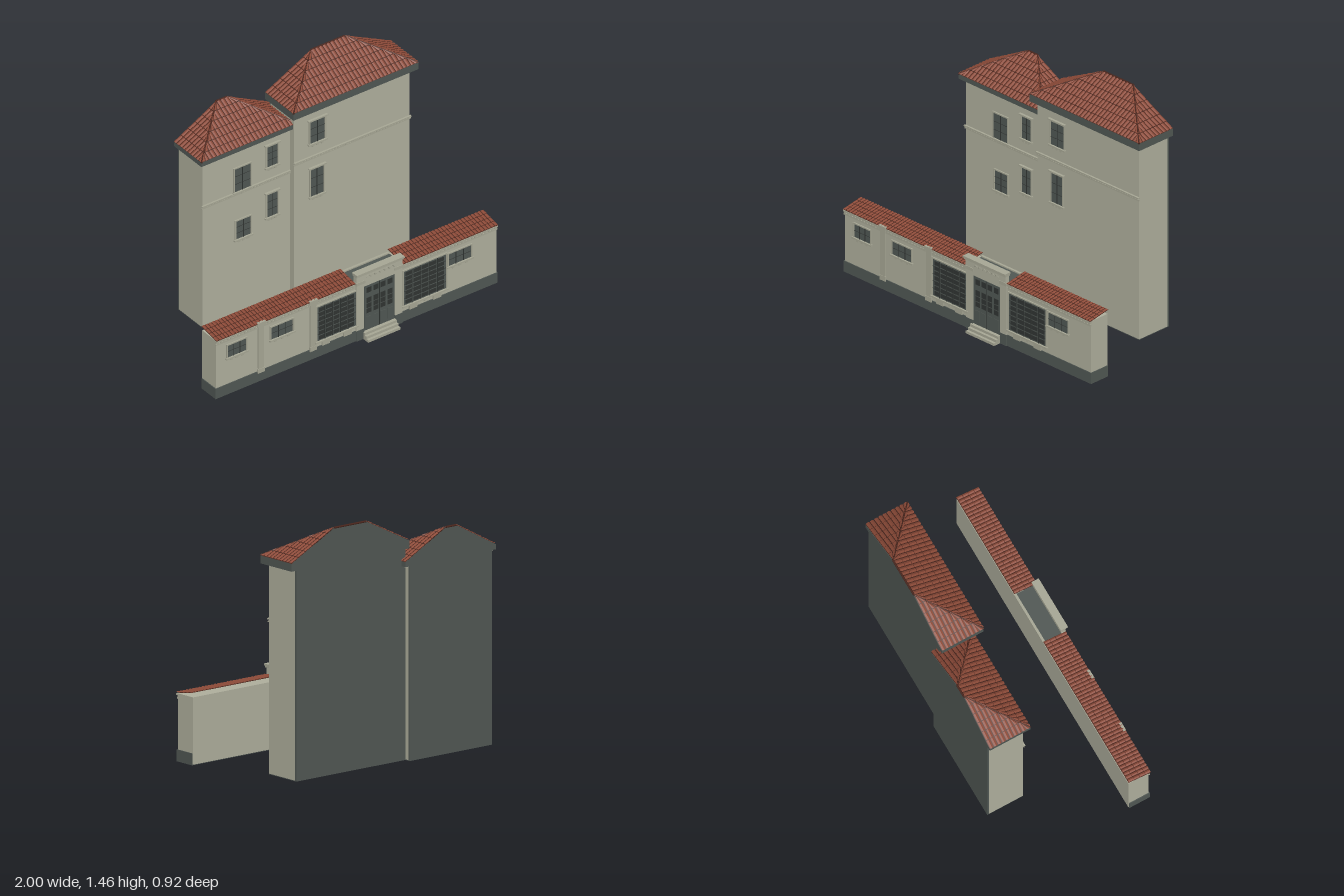
import * as THREE from 'three';

const mat = (name, color, side = THREE.FrontSide) => {
  const m = new THREE.MeshStandardMaterial({ color, side });
  m.name = name;
  return m;
};

export function createModel() {
  const root = new THREE.Group();
  root.name = 'walledTownhouse';
  const plaster = mat('plaster', 0xaeae9c);
  const trim = mat('trim', 0xa6a694);
  const slate = mat('slate', 0x505753);
  const iron = mat('iron', 0x303432);
  const tile = mat('tile', 0x8c4a38, THREE.DoubleSide);
  const tileGap = mat('tileGap', 0x4a261d, THREE.DoubleSide);

  // Box given by its min and max corners
  const box = (g, name, m, x0, x1, y0, y1, z0, z1) => {
    const mesh = new THREE.Mesh(new THREE.BoxGeometry(x1 - x0, y1 - y0, z1 - z0), m);
    mesh.position.set((x0 + x1) / 2, (y0 + y1) / 2, (z0 + z1) / 2);
    mesh.name = name;
    g.add(mesh);
    return mesh;
  };
  const group = (name, parent = root) => {
    const g = new THREE.Group();
    g.name = name;
    parent.add(g);
    return g;
  };
  const V = (x, y, z) => new THREE.Vector3(x, y, z);
  const meshFrom = (g, name, m, points) => {
    const geo = new THREE.BufferGeometry().setFromPoints(points);
    geo.computeVertexNormals();
    const mesh = new THREE.Mesh(geo, m);
    mesh.name = name;
    g.add(mesh);
  };

  // Ridged tiles over a dark sheet; a, b are the eave corners, c, d the top ones
  const tiledSlope = (g, a, b, c, d, pitch, rows) => {
    meshFrom(g, 'roofSheet', tileGap, [a, b, c, a, c, d]);
    const width = a.distanceTo(b);
    const u = b.clone().sub(a).normalize();
    const ad = d.clone().sub(a);
    const uD = ad.dot(u), uC = c.clone().sub(a).dot(u);
    const rise = ad.addScaledVector(u, -uD);
    const n = u.clone().cross(rise).normalize();
    const cols = Math.round(width / pitch), step = width / cols, pts = [];
    const at = (s, t, h) => {
      const k = THREE.MathUtils.clamp(s, uD * t, width + (uC - width) * t);
      return a.clone().addScaledVector(u, k).addScaledVector(rise, t).addScaledVector(n, h);
    };
    for (let r = 0; r < rows; r++) {
      const t0 = r / rows, t1 = (r + 0.93) / rows;
      for (let i = 0; i < cols; i++) {
        const s = [0.1, 0.5, 0.9].map((f) => (i + f) * step);
        if (s[2] <= uD * t0 || s[0] >= width + (uC - width) * t0) continue;
        for (let j = 0; j < 2; j++) {
          const h0 = j ? 0.006 : 0.002, h1 = j ? 0.002 : 0.006;
          const p = at(s[j], t0, h0 + 0.002), q = at(s[j + 1], t0, h1 + 0.002);
          const v = at(s[j + 1], t1, h1), w = at(s[j], t1, h0);
          pts.push(p, q, v, p, v, w);
        }
      }
    }
    meshFrom(g, 'roofTiles', tile, pts);
  };
  const cap = (g, a, b) => {
    const mesh = new THREE.Mesh(new THREE.CylinderGeometry(0.006, 0.006, a.distanceTo(b), 6), tileGap);
    mesh.position.copy(a).lerp(b, 0.5);
    mesh.quaternion.setFromUnitVectors(V(0, 1, 0), b.clone().sub(a).normalize());
    mesh.name = 'hipCap';
    g.add(mesh);
  };

  // Framed window with mullions, sill and brackets on a wall at z
  const addWindow = (parent, x0, x1, y0, y1, z, hood = true, cols = 2, rows = 3) => {
    const g = group('window', parent);
    box(g, 'pane', slate, x0, x1, y0, y1, z, z + 0.003);
    for (let i = 1; i < cols; i++) {
      const x = x0 + (x1 - x0) * i / cols;
      box(g, 'mullion', iron, x - 0.002, x + 0.002, y0, y1, z, z + 0.006);
    }
    for (let i = 1; i < rows; i++) {
      const y = y0 + (y1 - y0) * i / rows;
      box(g, 'glazingBar', iron, x0, x1, y - 0.001, y + 0.001, z, z + 0.005);
    }
    for (const [l, r] of [[x0 - 0.008, x0], [x1, x1 + 0.008]])
      box(g, 'jamb', trim, l, r, y0, y1, z, z + 0.008);
    box(g, 'lintel', trim, x0 - 0.008, x1 + 0.008, y1, y1 + 0.008, z, z + 0.008);
    if (hood) box(g, 'hood', trim, x0 - 0.016, x1 + 0.016, y1 + 0.008, y1 + 0.016, z, z + 0.016);
    box(g, 'sill', trim, x0 - 0.014, x1 + 0.014, y0 - 0.01, y0, z, z + 0.014);
    for (const f of [0.2, 0.5, 0.8]) {
      const x = x0 + (x1 - x0) * f;
      box(g, 'bracket', trim, x - 0.008, x + 0.008, y0 - 0.022, y0 - 0.01, z, z + 0.009);
    }
  };

  // Cornice: two thin courses with a row of dentils between
  const addBand = (parent, x0, x1, y0, y1, z, pitch = 0.02) => {
    const g = group('cornice', parent), h = (y1 - y0) / 3;
    box(g, 'lowerCourse', trim, x0, x1, y0, y0 + h, z, z + 0.006);
    box(g, 'upperCourse', trim, x0, x1, y1 - h, y1, z, z + 0.012);
    for (let x = x0 + pitch / 2; x < x1; x += pitch)
      box(g, 'dentil', trim, x - pitch / 4, x + pitch / 4, y0 + h, y1 - h, z, z + 0.009);
  };

  // Tower with a half hipped roof cut flat at the back
  const addTower = (name, x0, x1, zf, zb, wallTop, e) => {
    const g = group(name);
    box(g, 'towerWalls', plaster, x0, x1, 0.004, wallTop, zb + 0.01, zf);
    box(g, 'towerFoot', slate, x0, x1, 0, 0.004, zb + 0.01, zf);
    box(g, 'backWall', slate, x0, x1, 0, wallTop, zb, zb + 0.01);
    box(g, 'eaveMoulding', trim, x0 - 0.012, x1 + 0.012, wallTop - 0.008, wallTop + 0.005, zb + 0.01, zf + 0.012);
    box(g, 'eaves', slate, e.x0, e.x1, wallTop, e.y, zb, e.zf);
    const fl = V(e.x0, e.y, e.zf), fr = V(e.x1, e.y, e.zf);
    const bl = V(e.x0, e.y, zb), br = V(e.x1, e.y, zb);
    const tl = V(e.r0, e.top, zb), tr = V(e.r1, e.top, zb);
    tiledSlope(g, fl, fr, tr, tl, 0.027, 6);
    tiledSlope(g, fr, br, tr, tr, 0.027, 6);
    tiledSlope(g, bl, fl, tl, tl, 0.027, 6);
    cap(g, fl, tl);
    cap(g, fr, tr);
    cap(g, tl, tr);
    meshFrom(g, 'backGable', slate, [bl, tl, tr, bl, tr, br].map((p) => p.clone().setZ(zb - 0.002)));
    return g;
  };

  const tall = addTower('tallTower', -0.015, 0.805, -0.18, -0.42, 1.24,
    { x0: -0.045, x1: 0.84, zf: -0.145, y: 1.287, top: 1.45, r0: 0.28, r1: 0.52 });
  addBand(tall, -0.02, 0.81, 0.895, 0.918, -0.18);
  addWindow(tall, 0.095, 0.2, 1.005, 1.155, -0.18);
  addWindow(tall, 0.1, 0.19, 0.637, 0.823, -0.18);

  const short = addTower('shortTower', -0.635, -0.015, -0.222, -0.457, 1.145,
    { x0: -0.665, x1: 0.015, zf: -0.19, y: 1.175, top: 1.335, r0: -0.365, r1: -0.29 });
  addBand(short, -0.642, -0.015, 0.825, 0.848, -0.222);
  addWindow(short, -0.41, -0.297, 0.85, 1.01, -0.222, false);
  addWindow(short, -0.4, -0.295, 0.52, 0.645, -0.222, false);
  addWindow(short, -0.18, -0.105, 0.93, 1.07, -0.222);
  addWindow(short, -0.18, -0.105, 0.583, 0.74, -0.222);

  // Long street wall with plinth and sloping tiled roof
  const wall = group('streetWall');
  box(wall, 'wallBody', plaster, -0.995, 0.995, 0.004, 0.4, 0.267, 0.4);
  box(wall, 'plinth', slate, -1, 1, 0, 0.07, 0.27, 0.405);
  addBand(wall, -0.998, -0.015, 0.368, 0.4, 0.4, 0.024);
  addBand(wall, 0.325, 0.998, 0.368, 0.4, 0.4, 0.024);
  for (const [x0, x1] of [[-1, -0.012], [0.322, 1]])
    tiledSlope(wall, V(x0, 0.402, 0.412), V(x1, 0.402, 0.412), V(x1, 0.428, 0.265), V(x0, 0.428, 0.265), 0.023, 4);
  for (const x of [-0.68, -0.31]) {
    box(wall, 'pilaster', trim, x - 0.02, x + 0.02, 0.07, 0.385, 0.4, 0.41);
    box(wall, 'pilasterCapital', trim, x - 0.028, x + 0.028, 0.385, 0.41, 0.4, 0.416);
    box(wall, 'pilasterFoot', trim, x - 0.024, x + 0.024, 0.06, 0.09, 0.4, 0.412);
  }
  for (const [x0, x1] of [[-0.915, -0.785], [-0.605, -0.452], [0.652, 0.812]])
    addWindow(wall, x0, x1, 0.253, 0.337, 0.4, false, 3, 2);

  // Large shop windows behind iron grilles
  for (const [x0, x1] of [[-0.28, -0.005], [0.335, 0.635]]) {
    const g = group('grilleWindow', wall);
    addWindow(g, x0, x1, 0.108, 0.345, 0.4, false, 5, 5);
    for (let c = 0; c < 5; c++)
      for (let r = 0; r < 7; r++) {
        const w = (x1 - x0 - 0.02) / 5, x = x0 + 0.01 + c * w, y = 0.116 + r * 0.032;
        box(g, 'grillePanel', iron, x + 0.004, x + w - 0.004, y, y + 0.025, 0.4, 0.405);
      }
    for (const f of [0.22, 0.78]) {
      const x = x0 + (x1 - x0) * f;
      box(g, 'sillBlock', trim, x - 0.028, x + 0.028, 0.068, 0.1, 0.4, 0.41);
    }
  }

  // Entrance with pillars, stepped parapet, double door and steps
  const gate = group('entrance');
  for (const [x0, x1] of [[-0.005, 0.05], [0.27, 0.32]]) {
    box(gate, 'gatePillar', plaster, x0, x1, 0.07, 0.4, 0.395, 0.41);
    box(gate, 'pillarPlinth', slate, x0, x1, 0, 0.07, 0.395, 0.412);
    box(gate, 'pillarCapital', trim, x0 - 0.005, x1 + 0.005, 0.385, 0.405, 0.395, 0.416);
  }
  box(gate, 'gateLintel', plaster, 0.05, 0.27, 0.357, 0.4, 0.395, 0.408);
  box(gate, 'parapet', plaster, -0.008, 0.318, 0.4, 0.445, 0.385, 0.413);
  box(gate, 'parapetMoulding', trim, -0.012, 0.322, 0.445, 0.456, 0.383, 0.42);
  box(gate, 'parapetCoping', trim, -0.015, 0.325, 0.456, 0.467, 0.38, 0.427);
  for (let i = 0; i < 6; i++) {
    const arch = new THREE.Mesh(new THREE.TorusGeometry(0.014, 0.003, 4, 8, Math.PI), trim);
    arch.position.set(0.077 + i * 0.0335, 0.415, 0.413);
    arch.name = 'parapetArch';
    gate.add(arch);
  }
  box(gate, 'flatRoof', slate, -0.015, 0.325, 0.398, 0.404, 0.28, 0.385);
  box(gate, 'rearCoping', trim, -0.015, 0.325, 0.398, 0.412, 0.265, 0.28);
  box(gate, 'door', slate, 0.053, 0.267, 0.05, 0.355, 0.4, 0.4065);
  box(gate, 'doorSplit', iron, 0.158, 0.162, 0.05, 0.355, 0.4, 0.409);
  for (let c = 0; c < 4; c++) {
    const x = 0.068 + c * 0.05;
    for (const [y0, y1] of [[0.305, 0.34], [0.235, 0.27], [0.2, 0.23], [0.165, 0.195]])
      box(gate, 'doorPane', iron, x, x + 0.034, y0, y1, 0.4, 0.408);
    box(gate, 'doorPanel', slate, x, x + 0.034, 0.07, 0.14, 0.4, 0.409);
  }
  for (let i = 0; i < 3; i++)
    box(gate, 'doorStep', trim, 0.042, 0.27, i * 0.016, (i + 1) * 0.016, 0.4, 0.46 - i * 0.017);

  return root;
}
